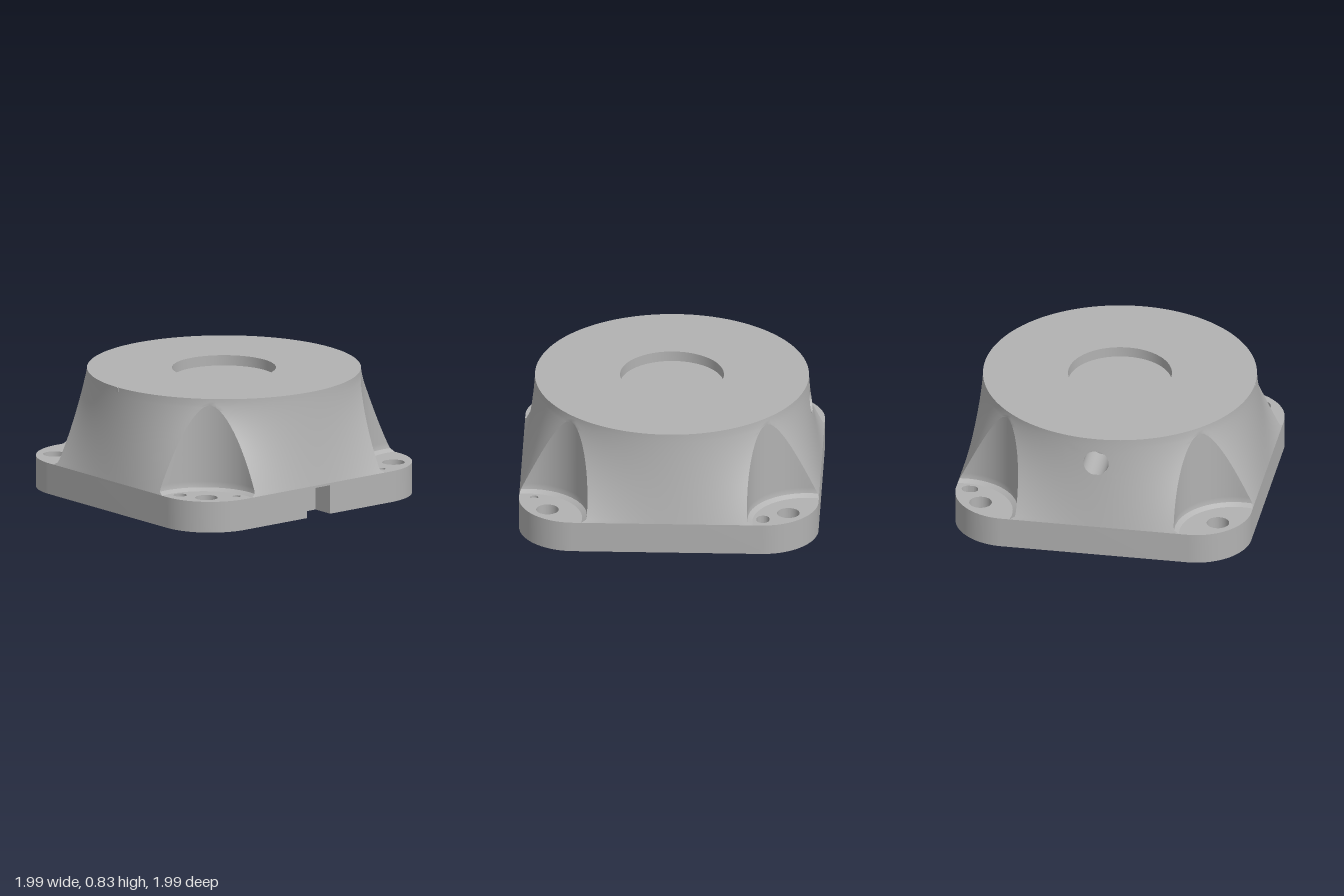
import * as THREE from 'three';
import { toCreasedNormals } from 'three/addons/utils/BufferGeometryUtils.js';

const HALF = 0.995, BASE = 0.21, TOP = 0.83, NOTCH_TOP = 0.195;
const SCOOP_C = 0.932, SCOOP_R = 0.402;            // corner scoops
const ROWS = 32, SIDE = 18, SCOOP = 12;            // body grid
const HOLE_ROW = 23, HOLE_R = 0.085, RING = 3, WINDOW = 6;
const HOLE_Y = BASE + (TOP - BASE) * HOLE_ROW / ROWS;

// Radius of the square-to-round loft, phi measured from a face's middle
function loftRadius(phi, y) {
  const v = 1 - (y - BASE) / (TOP - BASE);
  const side = 0.91 + 0.085 * Math.pow(v, 1.4);
  return side * (1 + (1 / Math.cos(phi) - 1) * Math.pow(v, 1.65));
}

// Radius of the vertical scoop wall, with a small fillet at its foot
function scoopRadius(phi, y) {
  const f = 0.035, dy = Math.max(0, f - (y - BASE));
  const r = SCOOP_R - (f - Math.sqrt(f * f - dy * dy));
  const D = SCOOP_C * Math.SQRT2, d = Math.PI / 4 - Math.abs(phi);
  const q = r * r - (D * Math.sin(d)) ** 2;
  return q > 0 ? D * Math.cos(d) - Math.sqrt(q) : Infinity;
}

const bodyRadius = (phi, y) => Math.min(loftRadius(phi, y), scoopRadius(phi, y));

// Angle at which the scoop cuts the loft
function edgeAngle(y) {
  let lo = 0, hi = Math.PI / 4;
  for (let i = 0; i < 40; i++) {
    const mid = (lo + hi) / 2;
    if (loftRadius(mid, y) < scoopRadius(mid, y)) lo = mid; else hi = mid;
  }
  return lo;
}

function bodyGeometry() {
  const pos = [], index = [], half = SIDE + SCOOP, per = 2 * half + 1;
  for (let k = 0; k < 4; k++) {
    const start = pos.length / 3;
    for (let j = 0; j <= ROWS; j++) {
      const y0 = BASE + (TOP - BASE) * j / ROWS, edge = edgeAngle(y0);
      for (let i = -half; i <= half; i++) {
        const n = Math.abs(i);
        let phi = n <= SIDE ? edge * n / SIDE : edge + (Math.PI / 4 - edge) * (n - SIDE) / SCOOP;
        phi *= Math.sign(i);
        let y = y0;
        // pull the grid into a circle round the cable hole
        const dj = j - HOLE_ROW, m = Math.max(n, Math.abs(dj));
        if (k === 2 && m >= RING && m < WINDOW) {
          const w = (m - RING) / (WINDOW - RING), h = Math.hypot(i, dj);
          phi = phi * w + Math.asin(HOLE_R * i / h / 0.918) * (1 - w);
          y = y0 * w + (HOLE_Y + HOLE_R * dj / h) * (1 - w);
        }
        const r = bodyRadius(phi, y), a = k * Math.PI / 2 + phi;
        pos.push(r * Math.cos(a), y, r * Math.sin(a));
      }
    }
    for (let j = 0; j < ROWS; j++) for (let i = 0; i < 2 * half; i++) {
      const ci = i - half, cj = j - HOLE_ROW;
      if (k === 2 && ci >= -RING && ci < RING && cj >= -RING && cj < RING) continue;
      const a = start + j * per + i, b = a + per;
      index.push(a, b, a + 1, b, b + 1, a + 1);
    }
  }
  const g = new THREE.BufferGeometry();
  g.setAttribute('position', new THREE.Float32BufferAttribute(pos, 3));
  g.setIndex(index);
  return toCreasedNormals(g, 0.35);
}

// Square outline with round corners, optionally notched on the +x side
function outline(notched) {
  const s = new THREE.Shape(), r = 0.37, c = HALF - r;
  s.moveTo(HALF, -c);
  if (notched) {
    s.lineTo(HALF, -0.1); s.lineTo(0.84, -0.1);
    s.lineTo(0.84, 0.1); s.lineTo(HALF, 0.1);
  }
  s.lineTo(HALF, c);
  s.absarc(c, c, r, 0, Math.PI / 2);
  s.absarc(-c, c, r, Math.PI / 2, Math.PI);
  s.absarc(-c, -c, r, Math.PI, Math.PI * 1.5);
  s.absarc(c, -c, r, Math.PI * 1.5, Math.PI * 2);
  return s;
}

const circle = (x, z, r) => new THREE.Path().absarc(x, -z, r, 0, Math.PI * 2, true);

// Rounded slot, total length lx by lz
function slot(x, z, lx, lz) {
  const p = new THREE.Path(), r = Math.min(lx, lz) / 2, e = Math.max(lx, lz) / 2 - r;
  if (lx > lz) {
    p.absarc(x + e, -z, r, -Math.PI / 2, Math.PI / 2);
    p.absarc(x - e, -z, r, Math.PI / 2, Math.PI * 1.5);
  } else {
    p.absarc(x, -z + e, r, 0, Math.PI);
    p.absarc(x, -z - e, r, Math.PI, Math.PI * 2);
  }
  p.closePath();
  return p;
}

function plate(shape, holes, y0, y1) {
  shape.holes.push(...holes);
  const g = new THREE.ExtrudeGeometry(shape, { depth: y1 - y0, bevelEnabled: false, curveSegments: 32 });
  g.rotateX(-Math.PI / 2).translate(0, y0, 0);
  return toCreasedNormals(g, 0.5);
}

function lathe(points) {
  const v = points.map(([x, y]) => new THREE.Vector2(x, y));
  return toCreasedNormals(new THREE.LatheGeometry(v, 8 * SIDE), 0.5);
}

export function createModel() {
  const group = new THREE.Group();
  const grey = new THREE.MeshStandardMaterial({ color: 0xb2b2b2, side: THREE.DoubleSide });
  grey.name = 'castGrey';
  const add = (name, geometry) => {
    const mesh = new THREE.Mesh(geometry, grey);
    mesh.name = name;
    group.add(mesh);
    return mesh;
  };

  // Flange: through holes in both layers, slots and notch in the lower one
  const through = () => {
    const h = [circle(0, 0, 0.76), circle(0.635, 0.89, 0.044), slot(-0.635, -0.9, 0.085, 0.11)];
    for (const x of [-0.8, 0.8]) for (const z of [-0.8, 0.8]) h.push(circle(x, z, 0.075));
    return h;
  };
  const slots = [];
  for (const s of [-1, 1]) {
    slots.push(slot(0, s * 0.88, 1.0, 0.1));
    for (const x of [-0.87, 0.87]) slots.push(slot(x, s * 0.31, 0.13, 0.29));
  }
  const dimples = [-0.62, 0.62].map((z) => circle(0.895, z, 0.028));
  add('flangeLower', plate(outline(true), [...through(), ...slots], 0, NOTCH_TOP));
  add('flangeUpper', plate(outline(false), [...through(), ...dimples], NOTCH_TOP, BASE));

  // Body wall, round top with shallow recess, and the cavity below
  add('bodyWall', bodyGeometry());
  add('topFace', lathe([[0.91, TOP], [0.345, TOP], [0.345, 0.76], [0, 0.76]]));
  const cavity = [[0.758, 0]];
  for (let i = 0; i <= 8; i++) {
    const a = i / 8 * Math.PI / 2;
    cavity.push([0.658 + 0.1 * Math.cos(a), 0.23 + 0.1 * Math.sin(a)]);
  }
  add('cavity', lathe([...cavity, [0, 0.33]]));

  // Cable hole, its mouth fitted to the body wall
  const bore = new THREE.CylinderGeometry(HOLE_R, HOLE_R, 1, 48, 1, true).rotateZ(Math.PI / 2);
  const p = bore.attributes.position;
  for (let i = 0; i < p.count; i++) {
    const y = HOLE_Y + p.getY(i), z = p.getZ(i);
    const r = bodyRadius(Math.asin(z / 0.918), y);
    p.setXYZ(i, p.getX(i) < 0 ? -Math.sqrt(r * r - z * z) : -0.65, y, z);
  }
  bore.computeVertexNormals();
  add('cableHole', bore);
  add('cableHoleEnd', new THREE.CircleGeometry(HOLE_R, 48).rotateY(-Math.PI / 2))
    .position.set(-0.65, HOLE_Y, 0);

  // Index mark at the front rim
  add('indexMark', new THREE.BoxGeometry(0.016, 0.03, 0.008)).position.set(0, 0.813, 0.909);
  return group;
}
